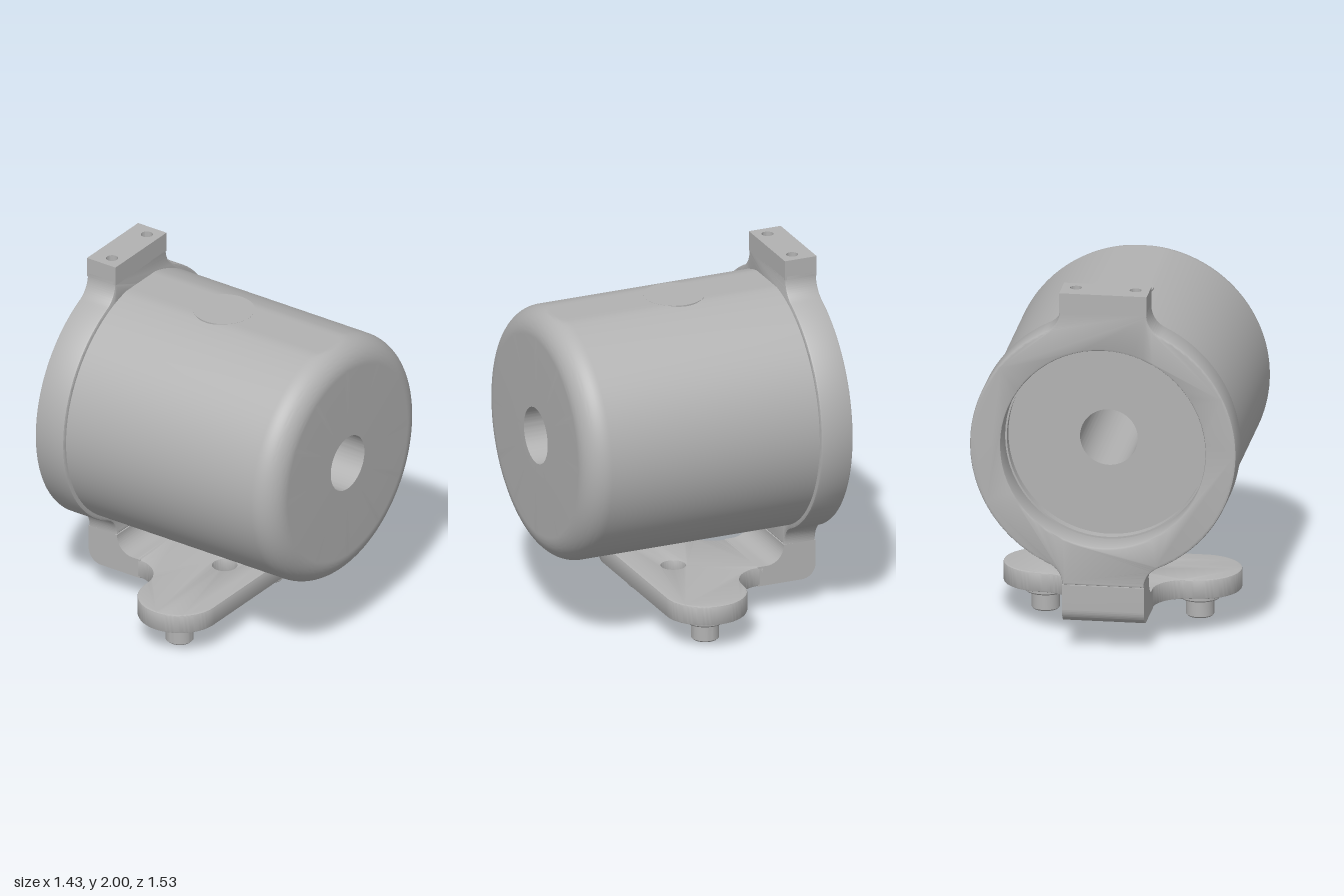
import * as THREE from 'three';
import { toCreasedNormals } from 'three/addons/utils/BufferGeometryUtils.js';

const CY = 1.136; // height of the housing axis

// Extrusion spanning z = 0..height, with an edge bevel that keeps the outline size
function extrude(shape, height, bevel = 0) {
  const geo = new THREE.ExtrudeGeometry(shape, {
    depth: height - 2 * bevel, bevelEnabled: bevel > 0, bevelThickness: bevel,
    bevelSize: bevel, bevelOffset: -bevel, bevelSegments: 2, curveSegments: 32,
  });
  return toCreasedNormals(geo.translate(0, 0, bevel), 0.5);
}

function circle(x, y, r) {
  return new THREE.Path().absarc(x, y, r, 0, Math.PI * 2, true);
}

// Closed shape from the right half of an outline, mirrored to the left
function mirrored(half) {
  const right = half.getPoints(32);
  const left = right.map((p) => new THREE.Vector2(-p.x, p.y)).reverse();
  return new THREE.Shape([...right, ...left]);
}

export function createModel() {
  const group = new THREE.Group();
  const grey = new THREE.MeshStandardMaterial({ color: 0xb2b2b2 });
  grey.name = 'plain grey';
  const add = (name, geo, x = 0, y = 0, z = 0) => {
    const mesh = new THREE.Mesh(geo, grey);
    mesh.name = name;
    mesh.position.set(x, y, z);
    group.add(mesh);
  };

  // Cylindrical housing: rounded front rim, bore, shallow back recess, flat on top
  const profile = new THREE.Path();
  profile.moveTo(0.54, -0.545);
  profile.lineTo(0.54, -0.6);
  profile.lineTo(0.69, -0.6);
  profile.lineTo(0.69, 0.625);
  profile.absarc(0.55, 0.625, 0.14, 0, Math.PI / 2, false);
  profile.lineTo(0.155, 0.765);
  profile.lineTo(0.155, -0.545);
  profile.lineTo(0.54, -0.545);
  const housing = new THREE.LatheGeometry(profile.getPoints(12), 128).rotateX(Math.PI / 2);
  const pos = housing.attributes.position;
  for (let i = 0; i < pos.count; i++) pos.setY(i, Math.min(pos.getY(i), 0.677));
  add('housing', toCreasedNormals(housing, 0.5), 0, CY, 0);

  // Round pad flush with the flat
  add('topPad', new THREE.CylinderGeometry(0.165, 0.165, 0.1, 64), 0, 1.764, -0.04);

  // Mounting ring whose outline flows into the upper and lower necks
  const R = 0.715, wTop = 0.235, wLow = 0.22, fTop = 0.133, fLow = 0.125;
  const reach = (w, f) => Math.sqrt((R + f) ** 2 - (w + f) ** 2);
  const dTop = reach(wTop, fTop), dLow = reach(wLow, fLow);
  const aTop = Math.atan2(dTop, wTop + fTop), aLow = Math.atan2(-dLow, wLow + fLow);
  const half = new THREE.Path();
  half.moveTo(wLow, 0.355);
  half.absarc(wLow + fLow, CY - dLow, fLow, Math.PI, aLow + Math.PI, true);
  half.absarc(0, CY, R, aLow, aTop, false);
  half.absarc(wTop + fTop, CY + dTop, fTop, aTop + Math.PI, Math.PI, true);
  half.lineTo(wTop, 1.91);
  const ring = mirrored(half);
  ring.holes.push(circle(0, CY, 0.55));
  add('mountingRing', extrude(ring, 0.185, 0.012), 0, 0, -0.765);

  // Top block with two blind screw holes
  const block = new THREE.Shape();
  block.moveTo(-wTop, -0.765);
  block.lineTo(wTop, -0.765);
  block.lineTo(wTop, -0.58);
  block.lineTo(-wTop, -0.58);
  block.closePath();
  for (const s of [-1, 1]) block.holes.push(circle(s * 0.16, -0.655, 0.032));
  add('topBlock', extrude(block, 0.11).rotateX(Math.PI / 2), 0, 2, 0);

  // Bent neck joining ring and foot (side profile: z across, y up)
  const bend = new THREE.Shape();
  bend.moveTo(-0.765, 0.37);
  bend.lineTo(-0.765, 0.235);
  bend.absarc(-0.685, 0.235, 0.08, Math.PI, Math.PI * 1.5, false);
  bend.lineTo(-0.43, 0.155);
  bend.lineTo(-0.43, 0.265);
  bend.lineTo(-0.48, 0.265);
  bend.absarc(-0.48, 0.365, 0.1, Math.PI * 1.5, Math.PI, true);
  bend.lineTo(-0.58, 0.37);
  bend.closePath();
  add('neck', extrude(bend, 2 * wLow).rotateY(-Math.PI / 2), wLow, 0, 0);

  // Foot plate: two rounded wings with a concave sweep back to the neck
  const wing = new THREE.Path();
  wing.moveTo(wLow, -0.46);
  wing.lineTo(wLow, -0.44);
  wing.absarc(0.4, -0.44, 0.18, Math.PI, Math.PI / 2, true);
  wing.absarc(0.415, -0.035, 0.225, -Math.PI / 2, Math.PI / 2, false);
  const foot = mirrored(wing);
  foot.holes.push(circle(0, -0.035, 0.065));
  add('footPlate', extrude(foot, 0.11, 0.01).rotateX(Math.PI / 2), 0, 0.265, 0);

  // Stepped studs under the wings
  const stud = [[0, 0], [0.067, 0], [0.075, 0.008], [0.075, 0.1], [0.105, 0.1],
    [0.113, 0.108], [0.113, 0.16]].map(([x, y]) => new THREE.Vector2(x, y));
  const studGeo = toCreasedNormals(new THREE.LatheGeometry(stud, 48), 0.5);
  add('leftStud', studGeo, 0.415, 0, -0.035);
  add('rightStud', studGeo, -0.415, 0, -0.035);

  return group;
}
